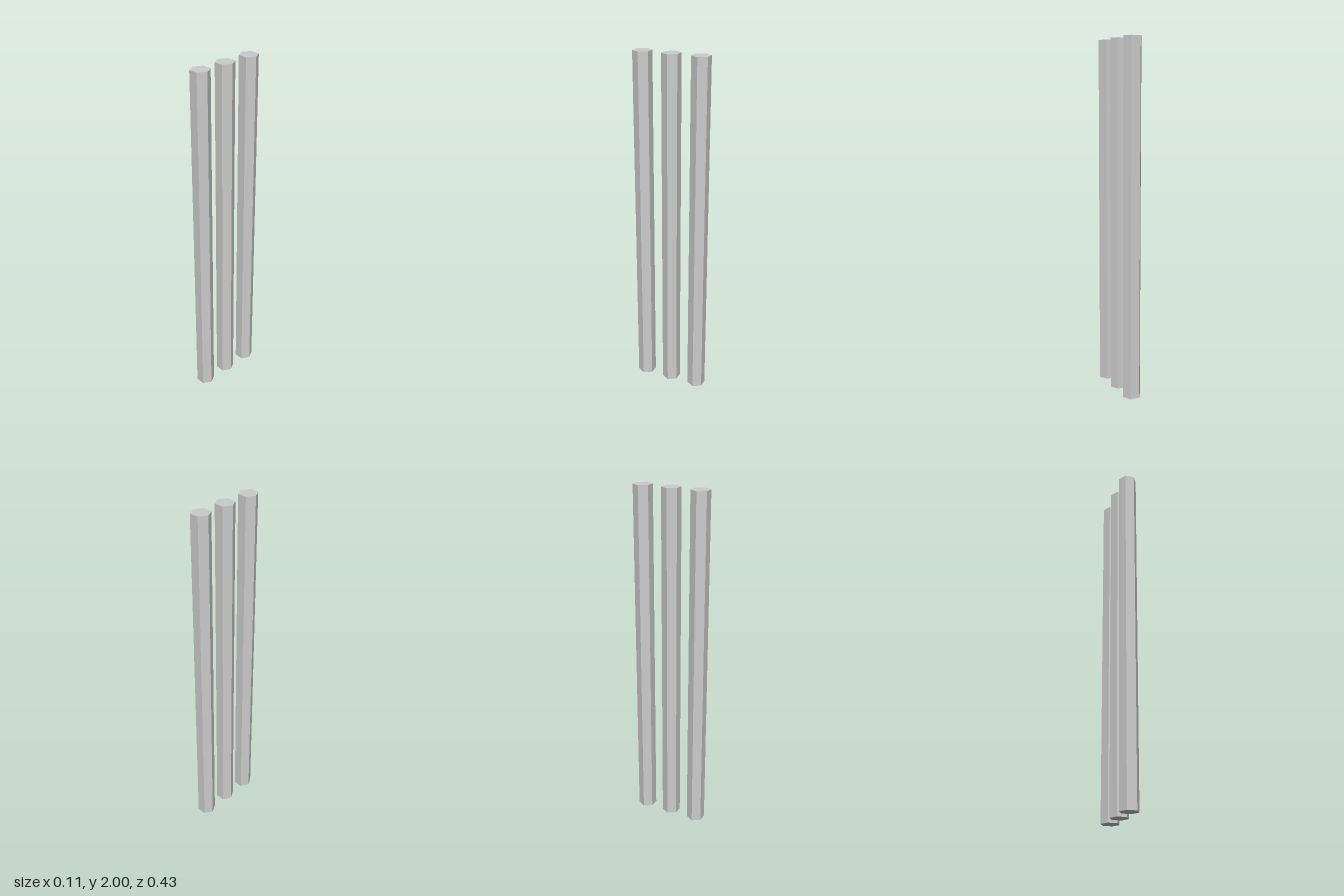
import * as THREE from 'three';

export function createModel() {
  const group = new THREE.Group();
  group.name = 'hexagonalBars';
  const material = new THREE.MeshStandardMaterial({ color: 0xcccccc, flatShading: true });

  // Hexagonal prism with corners pointing to +x and -x
  const radius = 0.053, height = 2, spacing = 0.167;
  const geometry = new THREE.CylinderGeometry(radius, radius, height, 6, 1, false, Math.PI / 2);

  // Three upright bars in a row from back to front
  ['backBar', 'middleBar', 'frontBar'].forEach((name, i) => {
    const bar = new THREE.Mesh(geometry, material);
    bar.name = name;
    bar.position.set(0, height / 2, (i - 1) * spacing);
    group.add(bar);
  });
  return group;
}
